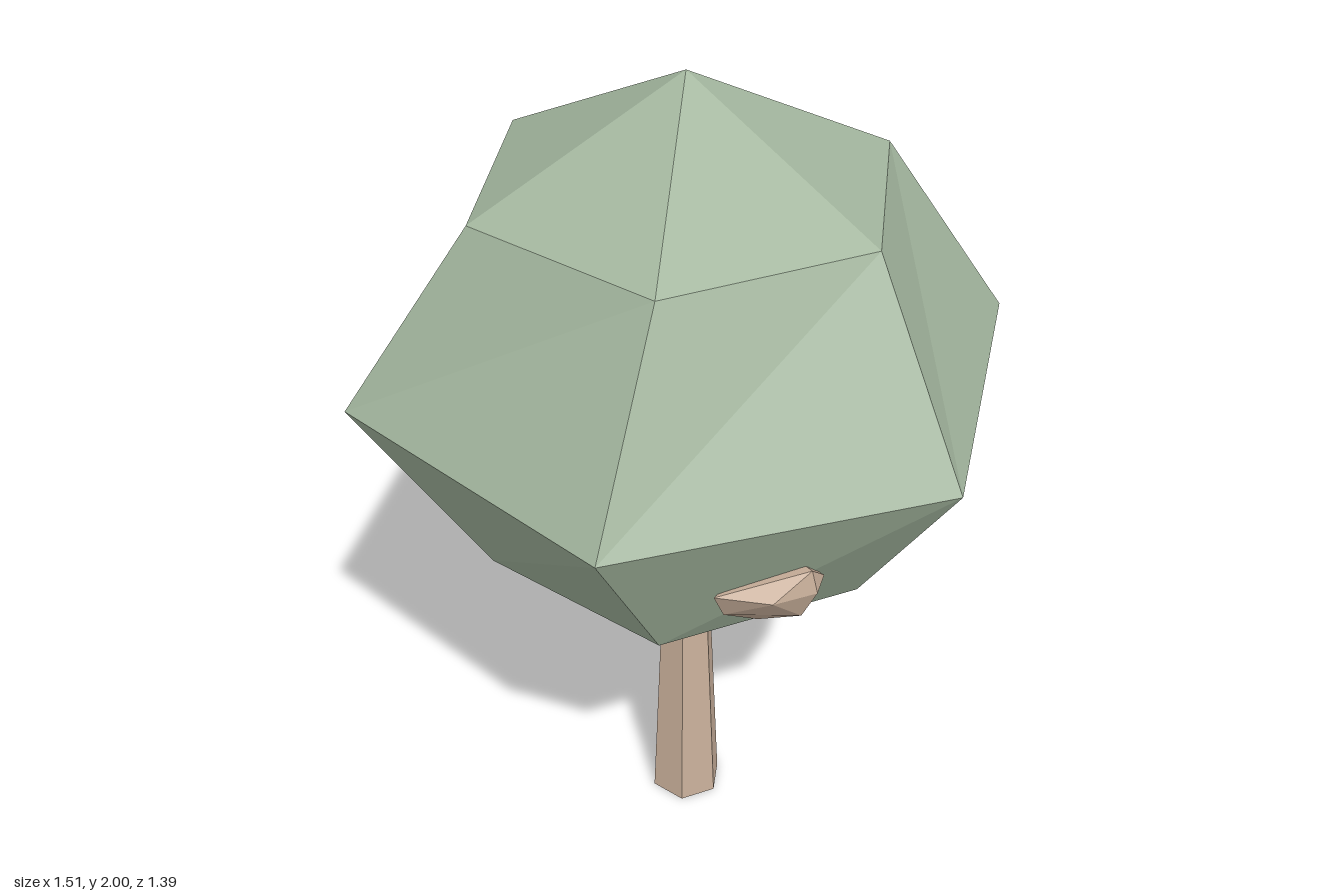
import * as THREE from 'three';
import { ConvexGeometry } from 'three/addons/geometries/ConvexGeometry.js';

const material = (name, color) => {
  const m = new THREE.MeshStandardMaterial({ color, flatShading: true });
  m.name = name;
  return m;
};

// Faceted solid from six-sided rings [radius, y, twist in degrees], listed from top to bottom
function ringSolid(rings, sides = 6) {
  const positions = [];
  const corner = ([r, y, twist], i) => {
    const a = (i / sides) * Math.PI * 2 + THREE.MathUtils.degToRad(twist);
    return [r * Math.cos(a), y, r * Math.sin(a)];
  };
  for (let k = 0; k < rings.length - 1; k++) {
    const upper = rings[k], lower = rings[k + 1];
    for (let i = 0; i < sides; i++) {
      const a = corner(upper, i), b = corner(upper, i + 1);
      const c = corner(lower, i), d = corner(lower, i + 1);
      if (upper[0] > 0) positions.push(...a, ...b, ...d);
      if (lower[0] > 0) positions.push(...a, ...d, ...c);
    }
  }
  const geometry = new THREE.BufferGeometry();
  geometry.setAttribute('position', new THREE.Float32BufferAttribute(positions, 3));
  geometry.computeVertexNormals();
  return geometry;
}

export function createModel() {
  const tree = new THREE.Group();
  tree.name = 'tree';
  const green = material('sage leaves', 0xa3b69e);
  const brown = material('pale bark', 0xc9b09b);

  const add = (name, geometry, mat) => {
    const mesh = new THREE.Mesh(geometry, mat);
    mesh.name = name;
    tree.add(mesh);
    return mesh;
  };

  // Crown, with its widest ring slightly twisted
  add('crown', ringSolid([
    [0, 2, 0], [0.478, 1.75, 0], [0.757, 1.32, 6.2], [0.478, 0.885, 0], [0.065, 0.61, 0], [0, 0.61, 0],
  ]), green);

  // Tapered trunk
  add('trunk', ringSolid([[0, 0.62, 0], [0.063, 0.62, 0], [0.09, 0, 0], [0, 0, 0]]), brown);

  // Three angular fruits set into the lower crown
  const fruitShape = new ConvexGeometry([
    [0.08, 0.097, -0.015], [0.0, 0.08, -0.05],
    [-0.07, 0.04, 0.12], [0.04, 0.04, 0.065], [0.092, 0.04, -0.02], [0.07, 0.04, -0.078], [-0.08, 0.04, -0.06],
    [-0.07, -0.03, 0.085], [0.055, -0.04, -0.02], [0.045, -0.02, -0.078],
    [-0.055, -0.108, -0.02], [-0.02, -0.09, -0.065], [-0.08, -0.05, 0],
  ].map((p) => new THREE.Vector3(...p)));
  const fruits = [
    ['leftFruit', 0, 1, [0.45, 1.05, 0.29]],
    ['rightFruit', 120, 1.1, [-0.445, 1.06, 0.26]],
    ['backFruit', 240, 1, [0.035, 1.04, -0.525]],
  ];
  for (const [name, turn, size, position] of fruits) {
    const fruit = add(name, fruitShape, brown);
    fruit.position.set(...position);
    fruit.rotation.y = -THREE.MathUtils.degToRad(turn);
    fruit.scale.setScalar(size);
  }
  return tree;
}
